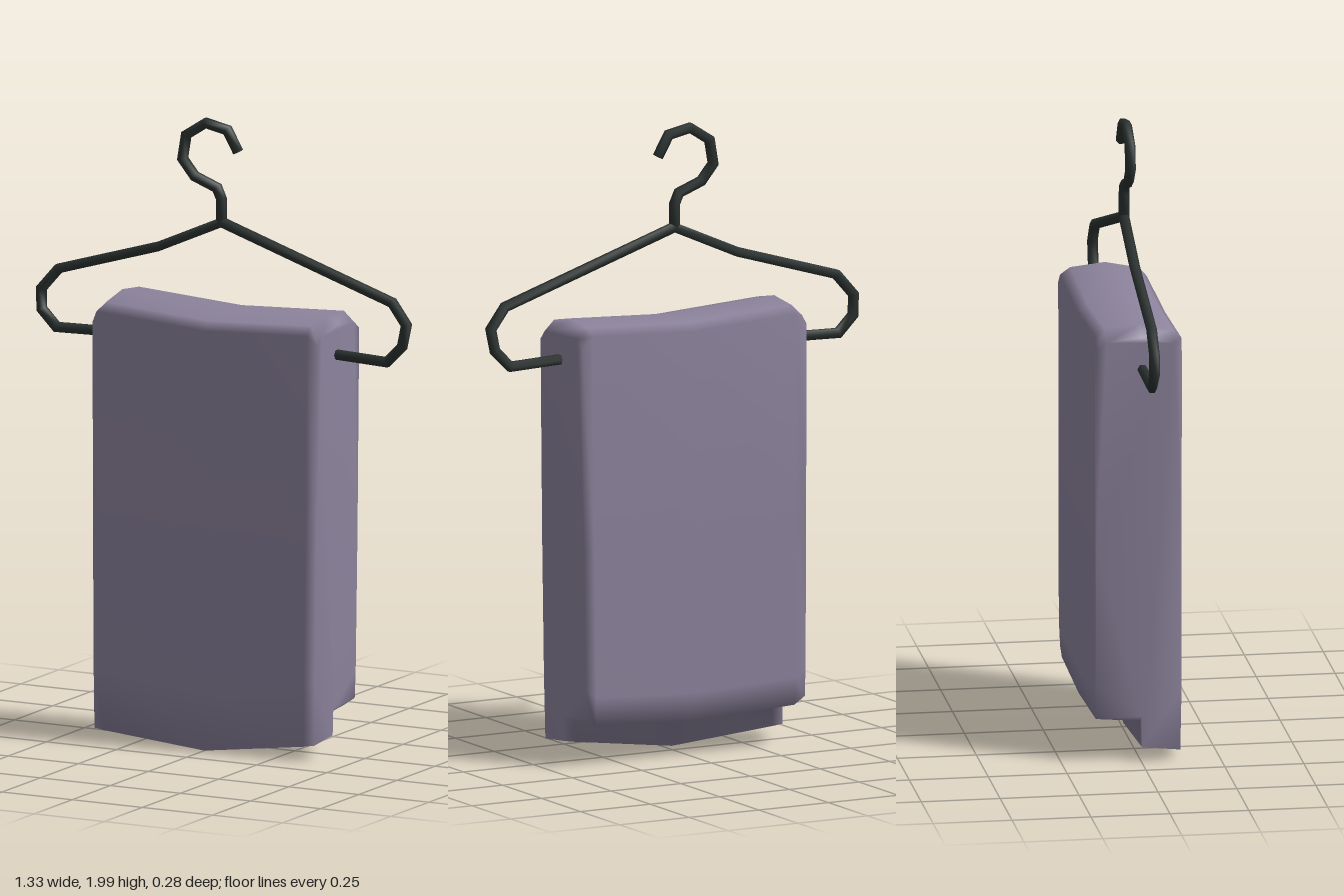
import * as THREE from 'three';

// Mitred tube swept along a polyline lying in the x-y plane
function sweep(path, { closed = false, r = 0.017, sides = 6, z = 0.004 } = {}) {
  const n = path.length, pos = [], idx = [];
  const pts = path.map(([x, y]) => new THREE.Vector2(x, y));
  for (let i = 0; i < n; i++) {
    const prev = closed ? pts[(i + n - 1) % n] : pts[Math.max(i - 1, 0)];
    const next = closed ? pts[(i + 1) % n] : pts[Math.min(i + 1, n - 1)];
    const a = pts[i].clone().sub(prev).normalize();
    const b = next.clone().sub(pts[i]).normalize();
    const t = a.clone().add(b).normalize();
    const dot = Math.max(t.dot(a.lengthSq() ? a : b), 0.6);
    for (let k = 0; k < sides; k++) {
      const ang = (k + 0.5) / sides * Math.PI * 2;
      const c = Math.cos(ang) * r / dot;
      pos.push(pts[i].x - t.y * c, pts[i].y + t.x * c, z + Math.sin(ang) * r);
    }
  }
  const spans = closed ? n : n - 1;
  for (let i = 0; i < spans; i++) {
    for (let k = 0; k < sides; k++) {
      const a = i * sides + k, b = i * sides + (k + 1) % sides;
      const c = ((i + 1) % n) * sides + k, d = ((i + 1) % n) * sides + (k + 1) % sides;
      idx.push(a, b, c, b, d, c);
    }
  }
  if (!closed) {
    const e = (n - 1) * sides;
    for (let k = 1; k < sides - 1; k++) idx.push(0, k + 1, k, e, e + k, e + k + 1);
  }
  return finish(pos, idx);
}

function finish(pos, idx) {
  const g = new THREE.BufferGeometry();
  g.setAttribute('position', new THREE.Float32BufferAttribute(pos, 3));
  g.setIndex(idx);
  g.computeVertexNormals();
  return g;
}

// Cloth folded over the bar: side-on sections lofted from right to left
function clothGeometry() {
  // x at top, x at hem, front depth, ridge height, front hem, back hem
  const columns = [
    [-0.402, -0.397, 0.128, 1.385, 0.037, 0.15],
    [-0.365, -0.36, 0.132, 1.42, 0.033, 0.125],
    [0, 0, 0.137, 1.397, 0.004, 0.108],
    [0.365, 0.35, 0.132, 1.415, 0.05, 0.125],
    [0.402, 0.386, 0.128, 1.382, 0.056, 0.15],
  ];
  const section = ([, , f, top, hem, back]) => [
    [f - 0.004, hem], [f, hem + 0.2], [f, 0.7], [f, top - 0.05], [f - 0.025, top - 0.022],
    [0, top], [-0.11, top - 0.012], [-0.142, top - 0.035],
    [-0.142, 0.7], [-0.142, back + 0.1], [-0.138, back + 0.012],
    [0.002, back], [0.004, hem + 0.012],
  ];
  const pos = [], idx = [];
  const m = section(columns[0]).length;
  for (const col of columns) {
    for (const [z, y] of section(col)) {
      const x = THREE.MathUtils.lerp(col[1], col[0], Math.min(y / 1.1, 1));
      pos.push(x, y, z);
    }
  }
  for (let i = 0; i < columns.length - 1; i++) {
    for (let j = 0; j < m; j++) {
      const a = i * m + j, b = a + m;
      const c = i * m + (j + 1) % m, d = c + m;
      idx.push(a, b, c, b, d, c);
    }
  }
  // Side faces
  for (const [i, sign] of [[0, -1], [columns.length - 1, 1]]) {
    const outline = section(columns[i]).map(([z, y]) => new THREE.Vector2(y, z));
    for (const tri of THREE.ShapeUtils.triangulateShape(outline.slice(), [])) {
      const area = THREE.ShapeUtils.area(tri.map((k) => outline[k]));
      const t = area * sign > 0 ? tri : [tri[0], tri[2], tri[1]];
      idx.push(...t.map((k) => i * m + k));
    }
  }
  return finish(pos, idx);
}

export function createModel() {
  const clothMat = new THREE.MeshStandardMaterial({ color: 0x8c839c });
  clothMat.name = 'dustyPurple';
  const hangerMat = new THREE.MeshStandardMaterial({ color: 0x2a3230 });
  hangerMat.name = 'darkGreenGrey';

  const model = new THREE.Group();
  model.name = 'hangerWithCloth';
  const add = (name, geometry, material) => {
    const mesh = new THREE.Mesh(geometry, material);
    mesh.name = name;
    model.add(mesh);
  };

  // Closed frame: shoulders, rounded ends and bottom bar
  add('hangerFrame', sweep([
    [-0.008, 1.67], [-0.235, 1.57], [-0.59, 1.465], [-0.652, 1.395], [-0.65, 1.33],
    [-0.597, 1.277], [-0.4, 1.282], [0.4, 1.287], [0.58, 1.28], [0.635, 1.335],
    [0.65, 1.405], [0.6, 1.472],
  ], { closed: true }), hangerMat);

  // Neck curling up into the hook
  add('hangerHook', sweep([
    [-0.01, 1.66], [-0.01, 1.745], [-0.025, 1.778], [-0.105, 1.808], [-0.148, 1.86],
    [-0.135, 1.937], [-0.065, 1.982], [0.012, 1.966], [0.05, 1.9],
  ]), hangerMat);

  add('foldedCloth', clothGeometry(), clothMat);
  return model;
}
